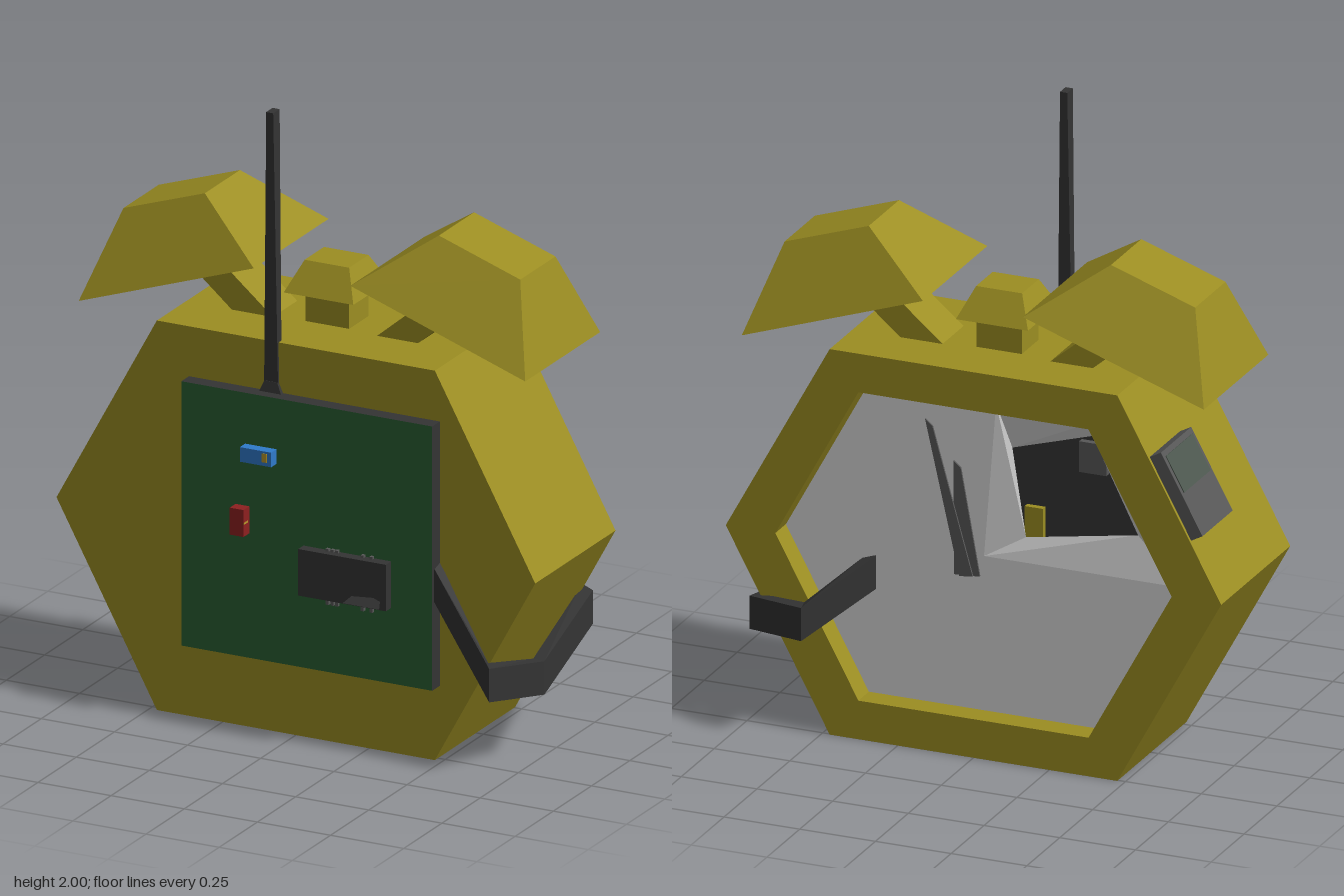
import * as THREE from 'three';
import { ConvexGeometry } from 'three/addons/geometries/ConvexGeometry.js';

const paint = (name, color, side = THREE.FrontSide) => {
  const m = new THREE.MeshStandardMaterial({ color, side });
  m.name = name;
  return m;
};
const V = (x, y, z) => new THREE.Vector3(x, y, z);

// flat-sided skin through a list of closed cross-sections
function loft(sections) {
  const pos = [];
  for (let i = 0; i + 1 < sections.length; i++) {
    const p = sections[i], q = sections[i + 1];
    for (let k = 0; k < p.length; k++) {
      const m = (k + 1) % p.length;
      [p[k], p[m], q[m], p[k], q[m], q[k]].forEach(v => pos.push(v.x, v.y, v.z));
    }
  }
  const g = new THREE.BufferGeometry();
  g.setAttribute('position', new THREE.Float32BufferAttribute(pos, 3));
  g.computeVertexNormals();
  return g;
}

export function createModel() {
  const olive = paint('olive casing', 0x9c8e22, THREE.DoubleSide);
  const grey = paint('dial grey', 0xd8d8d8, THREE.DoubleSide);
  const dark = paint('dark plastic', 0x343434, THREE.DoubleSide);
  const green = paint('board green', 0x295f32);
  const blue = paint('blue', 0x2f7acb);
  const red = paint('red', 0x8e2020);
  const gold = paint('gold', 0xb8982c);
  const metal = paint('metal grey', 0x585858);
  const glass = paint('screen glass', 0x4d584f);

  const model = new THREE.Group();
  const add = (name, geometry, material, parent = model) => {
    const mesh = new THREE.Mesh(geometry, material);
    mesh.name = name;
    parent.add(mesh);
    return mesh;
  };
  // box given by its minimum and maximum corners
  const box = (name, material, x0, x1, y0, y1, z0, z1, parent) => {
    const mesh = add(name, new THREE.BoxGeometry(x1 - x0, y1 - y0, z1 - z0), material, parent);
    mesh.position.set((x0 + x1) / 2, (y0 + y1) / 2, (z0 + z1) / 2);
    return mesh;
  };
  // flat face cut from an outline
  const plate = (name, material, pts, z) => {
    const shape = new THREE.Shape(pts.map(([x, y]) => new THREE.Vector2(x, y)));
    add(name, new THREE.ShapeGeometry(shape), material).position.z = z;
  };
  // convex solid around a few corner points
  const hull = (name, material, pts) => add(name, new ConvexGeometry(pts.map(p => V(...p))), material);

  // hexagonal casing with a deep pocket in the back
  const CY = 0.6285;
  const hex = s => [[0.475, 0.6285], [-0.475, 0.6285], [-0.818, 0], [-0.475, -0.6285], [0.475, -0.6285], [0.818, 0]]
    .map(([x, y]) => [x * s, CY + y * s]);
  const hexAt = (s, z) => hex(s).map(([x, y]) => V(x, y, z));
  add('casing', loft([hexAt(0.8, -0.03), hexAt(0.8, -0.255), hexAt(1, -0.255), hexAt(1, 0.27)]), olive);
  plate('casingFront', olive, hex(1), 0.27);

  // mechanism seen through the broken dial
  plate('innerPanel', dark, hex(0.8), -0.03);
  box('innerPart', metal, -0.35, -0.26, CY + 0.27, CY + 0.37, -0.05, -0.03);
  box('innerPart', olive, -0.14, -0.08, CY + 0.03, CY + 0.13, -0.05, -0.03);

  // recessed dial with one broken sector pushed inward around a hole
  const FZ = -0.175;
  const outer = [[0, 0], [-0.04, 0.503], [-0.38, 0.503], [-0.654, 0]];
  const inner = [[-0.13, 0.075], [-0.085, 0.36], [-0.35, 0.44], [-0.5, 0.14]];
  plate('dial', grey, [outer[0], outer[1], [0.38, 0.503], [0.654, 0], [0.38, -0.503], [-0.38, -0.503], outer[3]]
    .map(([x, y]) => [x, y + CY]), FZ);
  add('brokenDial', loft([
    inner.map(([x, y]) => V(x, y + CY, FZ + 0.02)),
    outer.map(([x, y]) => V(x, y + CY, FZ))]), grey);

  // clock hands
  const hand = (name, x, y, w, z) => hull(name, metal, [0, 0.006].flatMap(d =>
    [[0.025 - w, 0.59, z + d], [0.025 + w, 0.585, z + d], [x - 0.014, y - 0.02, z + d], [x + 0.01, y, z + d]]));
  hand('minuteHand', 0.15, 1.08, 0.022, -0.255);
  hand('hourHand', 0.06, 0.955, 0.042, -0.247);

  // hollow bells on slanted posts
  for (const s of [1, -1]) {
    const side = s > 0 ? 'left' : 'right';
    const rim = (a, b, z0, z1) => {
      const loop = [V(s * a[0], a[1], z0), V(s * b[0], b[1], z0), V(s * b[0], b[1], z1), V(s * a[0], a[1], z1)];
      return s > 0 ? loop.reverse() : loop;
    };
    const top = rim([0.4, 1.625], [0.678, 1.53], -0.13, 0.1);
    add(side + 'Bell', loft([
      rim([0.165, 1.465], [0.763, 1.258], -0.26, 0.23),
      top,
      top.map(() => V(s * 0.539, 1.5775, -0.015))]), olive);
    hull(side + 'BellPost', olive, [[0.17, 1.25], [0.31, 1.25], [0.61, 1.505], [0.52, 1.545]]
      .flatMap(([x, y]) => [[s * x, y, -0.08], [s * x, y, 0.08]]));
  }

  // top button
  box('buttonStem', olive, -0.075, 0.075, 1.25, 1.365, -0.06, 0.065);
  hull('buttonCap', olive, [-1, 1].flatMap(x => [
    [x * 0.119, 1.36, -0.115], [x * 0.119, 1.36, 0.122], [x * 0.076, 1.455, -0.06], [x * 0.076, 1.455, 0.067]]));

  // circuit board with its components
  box('circuitBoard', [dark, dark, dark, dark, green, dark], -0.365, 0.492, 0.243, 1.096, 0.27, 0.32);
  box('blueComponent', blue, -0.147, -0.04, 0.885, 0.932, 0.32, 0.355);
  box('blueComponentBand', gold, -0.072, -0.055, 0.897, 0.925, 0.352, 0.357);
  box('redComponent', red, -0.18, -0.133, 0.645, 0.732, 0.32, 0.358);
  box('redComponentBand', gold, -0.181, -0.132, 0.684, 0.69, 0.33, 0.3565);
  box('chip', dark, 0.052, 0.352, 0.487, 0.637, 0.32, 0.355);
  plate('chipPatch', metal, [[0.205, 0.489], [0.33, 0.489], [0.333, 0.515], [0.31, 0.524], [0.235, 0.517]], 0.357);
  for (const x of [0.14, 0.157, 0.172, 0.26, 0.29]) {
    box('chipPin', metal, x - 0.005, x + 0.005, 0.465, 0.645, 0.322, 0.334);
  }

  // antenna with a flared foot
  const level = (y, w, d) => [-w, w].flatMap(x => [[-0.081 + x, y, 0.265 - d], [-0.081 + x, y, 0.265 + d]]);
  hull('antenna', dark, [...level(1.1, 0.024, 0.012), ...level(2, 0.012, 0.021)]);
  hull('antennaFoot', dark, [...level(1.09, 0.04, 0.02), ...level(1.13, 0.022, 0.014)]);

  // flat cable bent round the side: upright rectangles along a path
  const path = [V(0.48, 0.6, 0.285), V(0.685, 0.302, 0.32), V(0.752, 0.268, 0.12),
    V(0.715, 0.363, -0.255), V(0.528, 0.39, -0.338), V(0.37, 0.52, -0.165)];
  const flat = (a, b) => V(b.x - a.x, 0, b.z - a.z).normalize();
  const sections = path.map((p, i) => {
    const t0 = flat(path[Math.max(i - 1, 0)], path[Math.max(i, 1)]);
    const t1 = flat(path[Math.min(i, 4)], path[Math.min(i + 1, 5)]);
    const t = t0.clone().add(t1).normalize();
    const n = V(-t.z, 0, t.x).multiplyScalar(0.02 / t.dot(t0));
    return [[1, -1], [1, 1], [-1, 1], [-1, -1]].map(([a, b]) =>
      p.clone().addScaledVector(n, a).add(V(0, b * 0.054, 0)));
  });
  const end = i => path[i] && sections[i].map(() => path[i]);
  add('cable', loft([end(0), ...sections, end(5)]), dark);

  // small screen on the slanted side
  const screen = new THREE.Group();
  screen.name = 'sideScreen';
  screen.position.set(-0.664, 0.953, -0.13);
  screen.rotation.z = Math.atan2(0.6285, 0.343);
  model.add(screen);
  box('screenFrame', metal, -0.143, 0.143, -0.022, 0.022, -0.115, 0.115, screen);
  box('screenGlass', glass, 0, 0.125, 0.02, 0.025, -0.1, 0.1, screen);

  return model;
}
